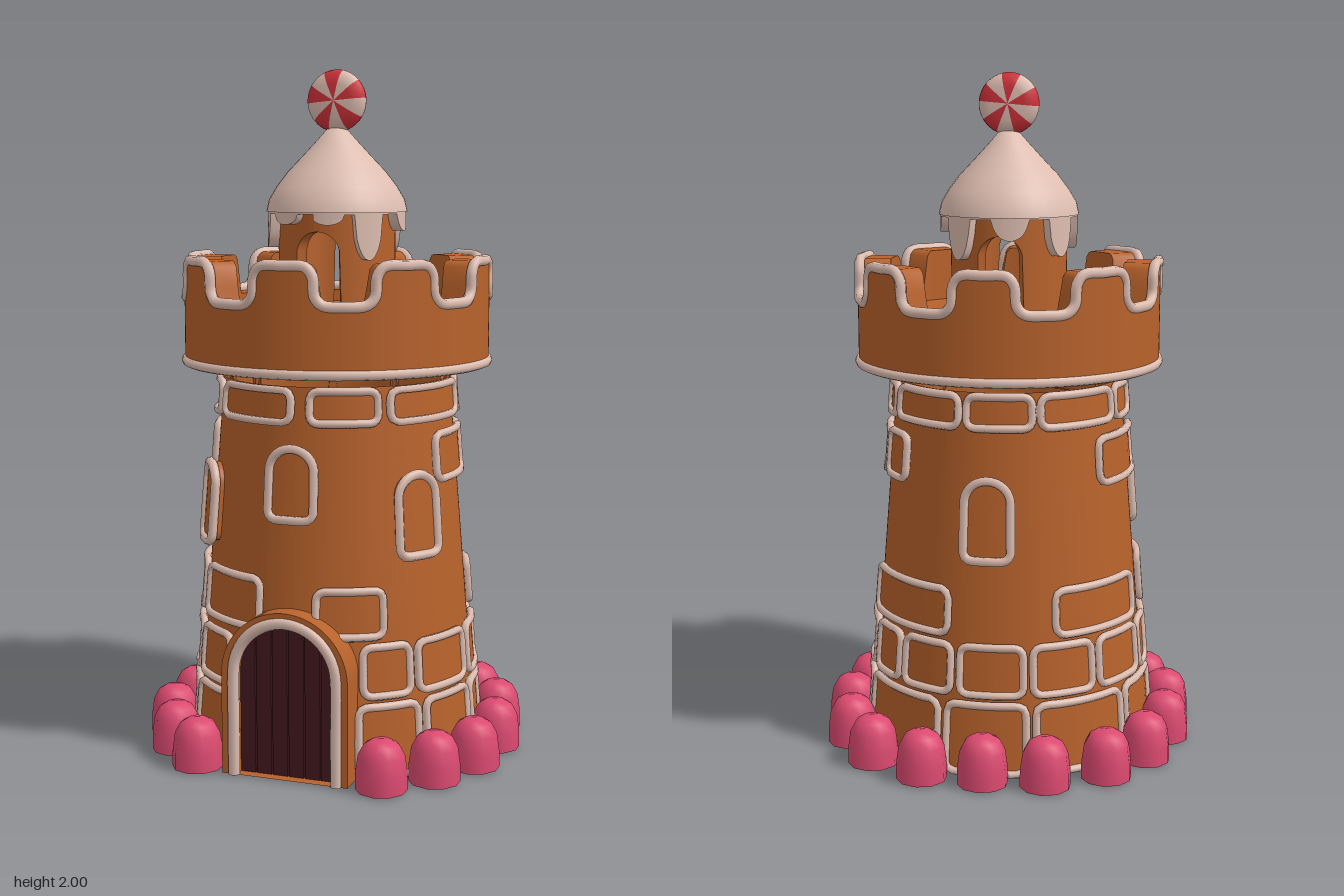
import * as THREE from 'three';
import { toCreasedNormals } from 'three/addons/utils/BufferGeometryUtils.js';

const mat = (name, color, side = THREE.FrontSide) => {
  const m = new THREE.MeshStandardMaterial({ color, side });
  m.name = name;
  return m;
};
const ginger = mat('gingerbread', 0xb8622b, THREE.DoubleSide);
const icing = mat('icing', 0xdfbeb1, THREE.DoubleSide);
const gum = mat('pinkGum', 0xdc4a70, THREE.DoubleSide);
const red = mat('candyRed', 0xd0323a);
const chocolate = mat('chocolate', 0x45191f, THREE.DoubleSide);

const DEG = Math.PI / 180;
const V2 = (x, y) => new THREE.Vector2(x, y);
const V3 = (x, y, z) => new THREE.Vector3(x, y, z);

// Point at azimuth (degrees from the front towards +x), height and radius
const polar = (az, y, r) => V3(r * Math.sin(az * DEG), y, r * Math.cos(az * DEG));
const wallRadius = (y) => 0.425 - 0.081 * y;

function add(parent, name, geometry, material) {
  const mesh = new THREE.Mesh(geometry, material);
  mesh.name = name;
  parent.add(mesh);
  return mesh;
}

// Quad sheet from point(i, j), i running round and j running across
function sheet(n, m, point, crease = 0.7) {
  const pos = [], index = [];
  for (let i = 0; i <= n; i++) for (let j = 0; j <= m; j++) pos.push(...point(i, j).toArray());
  for (let i = 0; i < n; i++) for (let j = 0; j < m; j++) {
    const a = i * (m + 1) + j, b = a + m + 1;
    index.push(a, b, b + 1, a, b + 1, a + 1);
  }
  const g = new THREE.BufferGeometry();
  g.setAttribute('position', new THREE.Float32BufferAttribute(pos, 3));
  g.setIndex(index);
  return toCreasedNormals(g, crease);
}

// Thick round wall whose lower and upper edges vary with azimuth
function ringWall(rOut, rIn, yBottom, yTop, n = 180) {
  return sheet(n, 4, (i, j) => {
    const az = (i / n) * 360, k = j % 4;
    return polar(az, k === 0 || k === 3 ? yBottom(az) : yTop(az), k < 2 ? rOut : rIn);
  });
}

const archY = (x, half, spring, base) =>
  Math.abs(x) < half ? spring + Math.sqrt(half * half - x * x) : base;

// Rounded outline; a top radius of half the width makes an arch
function outline(w, h, rb, rt) {
  const s = new THREE.Shape(), x = w / 2, y = h / 2;
  s.moveTo(-x + rb, -y);
  s.absarc(x - rb, -y + rb, rb, -Math.PI / 2, 0);
  s.absarc(x - rt, y - rt, rt, 0, Math.PI / 2);
  s.absarc(-x + rt, y - rt, rt, Math.PI / 2, Math.PI);
  s.absarc(-x + rb, -y + rb, rb, Math.PI, Math.PI * 1.5);
  s.closePath();
  return s.getSpacedPoints(36).slice(0, 36);
}

// Raised panel hugging the tower, edged with piped icing
function panel(parent, name, az, y, w, h, raise, rt, tube) {
  const g = new THREE.Group();
  g.name = name;
  parent.add(g);
  const pts = outline(w, h, 0.025, rt), r = wallRadius(y);
  const place = (p, s, off) => {
    const py = y + p.y * s;
    return polar(az + (p.x * s) / r / DEG, py, wallRadius(py) + off);
  };
  const rings = [[1, -0.01], [1, raise], [0.8, raise], [0.5, raise], [0.25, raise], [0, raise]];
  add(g, name + 'Face', sheet(36, 5, (i, j) => place(pts[i % 36], ...rings[j])), ginger);
  const path = new THREE.CatmullRomCurve3(pts.map((p) => place(p, 1, raise)), true);
  add(g, name + 'Icing', new THREE.TubeGeometry(path, 48, tube, 6, true), icing);
}

function buildTower(root) {
  const low = (az) => Math.cos(az * DEG) > 0 ? archY(0.42 * Math.sin(az * DEG), 0.17, 0.3, 0) : 0;
  add(root, 'towerWall', sheet(180, 1, (i, j) => {
    const y = j ? 1.11 : low(i * 2);
    return polar(i * 2, y, wallRadius(y));
  }), ginger);

  // Brick courses: bottom, top, then start and end azimuth of each brick
  const courses = [
    [0.01, 0.21, [28, 53], [57, 84], [88, 112], [116, 160], [164, 196], [200, 240], [244, 275], [279, 303], [307, 332]],
    [0.24, 0.38, [30, 50], [54, 83], [88, 115], [119, 138], [142, 165], [169, 195], [199, 225], [229, 255], [259, 273], [277, 304], [308, 331]],
    [0.41, 0.54, [11, 39], [111, 163], [209, 255]],
    [0.42, 0.56, [272, 302], [309, 346]],
    [0.83, 0.96, [71, 111], [114, 134], [235, 285]],
    [1.01, 1.1, [7, 39], [45, 97], [101, 121], [125, 165], [169, 200], [204, 246], [250, 270], [274, 308], [314, 358]],
  ];
  for (const [y0, y1, ...bricks] of courses) for (const [a0, a1] of bricks) {
    const y = (y0 + y1) / 2;
    panel(root, 'brick', (a0 + a1) / 2, y, (a1 - a0) * DEG * wallRadius(y), y1 - y0, 0.012, 0.025, 0.012);
  }
  for (const [az, y] of [[0, 0.84], [56, 0.745], [-56, 0.745], [180, 0.75]])
    panel(root, 'window', az, y, 0.125, az ? 0.23 : 0.2, 0.028, 0.0624, 0.014);
}

function archShape(half, spring, path) {
  path.moveTo(-half, 0);
  path.lineTo(half, 0);
  path.absarc(0, spring, half, 0, Math.PI, false);
  path.closePath();
  return path;
}

function buildDoor(root) {
  const door = new THREE.Group();
  door.name = 'door';
  root.add(door);
  const frame = archShape(0.19, 0.295, new THREE.Shape());
  frame.holes.push(archShape(0.145, 0.295, new THREE.Path()));
  const fg = new THREE.ExtrudeGeometry(frame, { depth: 0.125, bevelEnabled: false, curveSegments: 24 });
  add(door, 'doorFrame', toCreasedNormals(fg, 0.6), ginger).position.z = 0.32;
  // Piped arch
  const pts = [V3(0.155, 0, 0.44), V3(0.155, 0.15, 0.44)];
  for (let a = 0; a <= 180; a += 15)
    pts.push(V3(0.155 * Math.cos(a * DEG), 0.3 + 0.155 * Math.sin(a * DEG), 0.44));
  pts.push(V3(-0.155, 0.15, 0.44), V3(-0.155, 0, 0.44));
  add(door, 'doorIcing', new THREE.TubeGeometry(new THREE.CatmullRomCurve3(pts), 60, 0.018, 8), icing);
  // Backing and planks
  const back = new THREE.ShapeGeometry(archShape(0.15, 0.295, new THREE.Shape()), 20);
  add(door, 'doorBack', back, chocolate).position.z = 0.39;
  for (let k = 0; k < 6; k++) {
    const x0 = -0.147 + k * 0.049 + 0.002, x1 = x0 + 0.045, s = new THREE.Shape();
    s.moveTo(x0, 0);
    s.lineTo(x1, 0);
    for (let t = 4; t >= 0; t--) {
      const x = x0 + ((x1 - x0) * t) / 4;
      s.lineTo(x, archY(x, 0.148, 0.295, 0.295));
    }
    s.closePath();
    add(door, 'plank', new THREE.ExtrudeGeometry(s, { depth: 0.02, bevelEnabled: false }), chocolate).position.z = 0.392;
  }
}

function buildCrown(root) {
  const crown = new THREE.Group();
  crown.name = 'battlement';
  root.add(crown);
  // Eight merlons with softened corners
  const top = (az) => {
    const d = Math.abs(((az + 22.5) % 45) - 22.5);
    return d < 8.5 ? 1.455 : d < 11 ? 1.455 - 0.02 * (d - 8.5) / 2.5 : d < 13 ? 1.435 - 0.05 * (d - 11) : 1.335;
  };
  add(crown, 'battlementWall', ringWall(0.45, 0.352, () => 1.145, top, 240), ginger);
  const floor = add(crown, 'battlementFloor', new THREE.CylinderGeometry(0.4, 0.4, 0.153, 48), ginger);
  floor.position.y = 1.2235;
  const pts = [];
  for (let k = 0; k < 8; k++)
    for (const [d, y] of [[-14.5, 1.347], [-11.8, 1.37], [-11, 1.425], [-8.5, 1.45], [0, 1.453], [8.5, 1.45], [11, 1.425], [11.8, 1.37], [14.5, 1.347], [22.5, 1.342]])
      pts.push(polar(k * 45 + d, y, 0.444));
  const edge = new THREE.CatmullRomCurve3(pts, true);
  add(crown, 'battlementIcing', new THREE.TubeGeometry(edge, 320, 0.016, 7, true), icing);
  const ring = add(crown, 'baseIcing', new THREE.TorusGeometry(0.446, 0.015, 8, 64), icing);
  ring.rotation.x = Math.PI / 2;
  ring.position.y = 1.157;
}

function buildTurret(root) {
  const turret = new THREE.Group();
  turret.name = 'turret';
  root.add(turret);
  // Arches open through front and back
  const low = (az) => archY(0.17 * Math.sin(az * DEG), 0.065, 1.47, 1.295);
  add(turret, 'turretWall', ringWall(0.172, 0.13, low, () => 1.61), ginger);
  const profile = [[0.208, 1.59], [0.2, 1.625], [0.178, 1.662], [0.145, 1.705], [0.1, 1.752], [0.06, 1.795], [0.03, 1.828], [0, 1.84]];
  add(turret, 'roof', new THREE.LatheGeometry(profile.map((p) => V2(...p)), 36), icing);
  // Dripping skirt: azimuth, length and half width of each drip
  const drips = [[12, 0.03, 14], [47, 0.13, 13], [95, 0.05, 16], [142, 0.12, 13], [190, 0.06, 15], [238, 0.11, 14], [293, 0.1, 14], [332, 0.03, 14]];
  const hem = (az) => {
    let y = 1.585;
    for (const [a, len, w] of drips) {
      const d = Math.abs(az - a) / w;
      if (d < 1) y = Math.min(y, 1.585 - len * Math.sqrt(1 - d * d));
    }
    return y;
  };
  add(turret, 'roofDrips', ringWall(0.203, 0.168, hem, () => 1.6), icing);

  // Striped candy disc in ten wedges
  const candy = new THREE.Group();
  candy.name = 'candy';
  candy.position.y = 1.91;
  candy.rotation.x = Math.PI / 2;
  turret.add(candy);
  const disc = [[0, -0.033], [0.05, -0.032], [0.074, -0.025], [0.087, -0.012], [0.09, 0], [0.087, 0.012], [0.074, 0.025], [0.05, 0.032], [0, 0.033]];
  for (let k = 0; k < 10; k++) {
    const g = new THREE.LatheGeometry(disc.map((p) => V2(...p)), 5, (167 + 36 * k) * DEG, 36 * DEG);
    add(candy, 'candyWedge', g, k % 2 ? icing : red);
  }
}

function buildGumdrops(root) {
  const profile = [[0.074, 0], [0.073, 0.05], [0.066, 0.1], [0.05, 0.13], [0.028, 0.143], [0, 0.147]];
  const g = new THREE.LatheGeometry(profile.map((p) => V2(...p)), 10);
  // Mirrored pairs beside the one at the back
  const spots = [[0.18, -0.465], [0.345, -0.375], [0.445, -0.225], [0.488, -0.04], [0.475, 0.15], [0.4, 0.3], [0.28, 0.415]];
  const place = (x, z) => add(root, 'gumdrop', g, gum).position.set(x, 0, z);
  place(0, -0.475);
  for (const [x, z] of spots) for (const s of [-1, 1]) place(s * x, z);
}

export function createModel() {
  const model = new THREE.Group();
  model.name = 'gingerbreadTower';
  const root = new THREE.Group();
  root.name = 'tower';
  root.position.z = 0.028;
  model.add(root);
  buildTower(root);
  buildDoor(root);
  buildCrown(root);
  buildTurret(root);
  buildGumdrops(root);
  return model;
}
